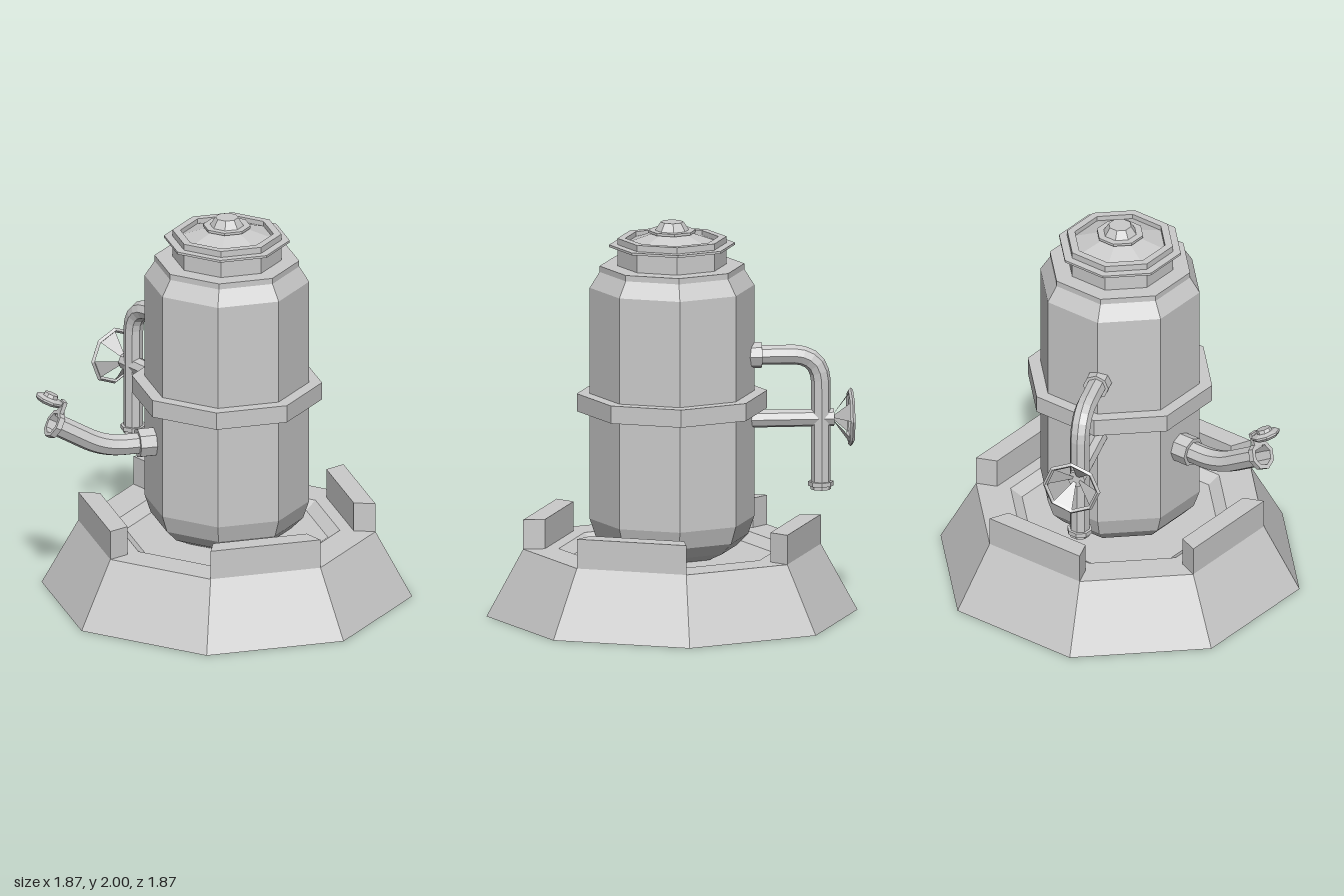
import * as THREE from 'three';

const SIDES = 8;
const grey = new THREE.MeshStandardMaterial({ color: 0xcccccc, flatShading: true });
const greyOpen = new THREE.MeshStandardMaterial({ color: 0xcccccc, flatShading: true, side: THREE.DoubleSide });

function add(parent, name, geometry, material = grey) {
  const mesh = new THREE.Mesh(geometry, material);
  mesh.name = name;
  parent.add(mesh);
  return mesh;
}

// Eight-sided turned solid from [radius, height] pairs, bottom to top
function turned(points) {
  return new THREE.LatheGeometry(points.map(([r, y]) => new THREE.Vector2(r, y)), SIDES);
}

// Pipe with straight ends and one rounded bend at b
function bentPipe(a, bendStart, b, bendEnd, c, radius) {
  const path = new THREE.CurvePath();
  path.add(new THREE.LineCurve3(a, bendStart));
  path.add(new THREE.QuadraticBezierCurve3(bendStart, b, bendEnd));
  path.add(new THREE.LineCurve3(bendEnd, c));
  return new THREE.TubeGeometry(path, 24, radius, SIDES, false);
}

const v = (x, y, z) => new THREE.Vector3(x, y, z);

function createBase(root) {
  add(root, 'base', turned([
    [0, 0], [0.935, 0], [0.75, 0.34], [0.57, 0.34], [0.51, 0.3], [0, 0.3],
  ]));
  // Parapet blocks on every second side
  for (let i = 0; i < 4; i++) {
    const t0 = Math.PI / 4 + i * Math.PI / 2;
    const t1 = t0 + Math.PI / 4;
    const corner = (r, t) => new THREE.Vector2(r * Math.sin(t), -r * Math.cos(t));
    const shape = new THREE.Shape([corner(0.75, t0), corner(0.75, t1), corner(0.64, t1), corner(0.64, t0)]);
    const geometry = new THREE.ExtrudeGeometry(shape, { depth: 0.15, bevelEnabled: false });
    geometry.rotateX(-Math.PI / 2);
    geometry.translate(0, 0.34, 0);
    add(root, 'parapetBlock', geometry);
  }
}

function createTank(root) {
  add(root, 'tank', turned([
    [0, 0.295], [0.23, 0.295], [0.325, 0.34], [0.385, 0.4], [0.415, 0.49],
    [0.415, 1.67], [0.365, 1.75], [0.365, 1.78], [0, 1.78],
  ]));
  add(root, 'collar', new THREE.CylinderGeometry(0.48, 0.48, 0.09, SIDES)).position.y = 1.085;
  // Neck with a raised rim and a shallow conical lid
  add(root, 'neck', turned([
    [0.275, 1.78], [0.275, 1.92], [0.235, 1.92], [0.235, 1.895], [0.09, 1.945], [0, 1.945],
  ]));
  add(root, 'neckFlange', new THREE.CylinderGeometry(0.317, 0.317, 0.012, SIDES)).position.y = 1.882;
  add(root, 'lidKnob', turned([
    [0, 1.945], [0.12, 1.945], [0.12, 1.958], [0.085, 1.958], [0.058, 2], [0, 2],
  ]));
}

function createDrain(root) {
  const drain = new THREE.Group();
  drain.name = 'drainPipe';
  root.add(drain);
  add(drain, 'drainTube', bentPipe(
    v(-0.37, 1.31, 0), v(-0.6, 1.31, 0), v(-0.75, 1.31, 0), v(-0.75, 1.16, 0), v(-0.75, 0.64, 0), 0.05,
  ), greyOpen);
  const wallFlange = add(drain, 'wallFlange', new THREE.CylinderGeometry(0.066, 0.066, 0.07, SIDES));
  wallFlange.rotation.z = Math.PI / 2;
  wallFlange.position.set(-0.415, 1.31, 0);
  add(drain, 'nozzleRing', turned([
    [0.04, 0.62], [0.052, 0.62], [0.052, 0.638], [0.064, 0.638], [0.064, 0.66], [0.045, 0.66],
  ]), greyOpen);
  add(drain, 'nozzlePlug', new THREE.CylinderGeometry(0.045, 0.045, 0.01, SIDES)).position.y = 0.63;
  drain.children.slice(-2).forEach((m) => { m.position.x = -0.75; });

  // Valve stem from the collar through the drain pipe
  const stem = add(drain, 'valveStem', new THREE.CylinderGeometry(0.045, 0.045, 0.42, SIDES));
  stem.rotation.z = Math.PI / 2;
  stem.position.set(-0.605, 0.985, 0);

  // Hand wheel with four tapering spokes
  const wheel = new THREE.Group();
  wheel.name = 'handWheel';
  wheel.position.set(-0.9, 0.985, 0);
  wheel.rotation.z = -Math.PI / 2;
  drain.add(wheel);
  const rim = add(wheel, 'wheelRim', new THREE.TorusGeometry(0.138, 0.012, 4, SIDES));
  rim.rotation.x = Math.PI / 2;
  for (let i = 0; i < 4; i++) {
    const spoke = add(wheel, 'wheelSpoke', new THREE.CylinderGeometry(
      0.02, 0.138, 0.085, 1, 1, true, i * Math.PI / 2, Math.PI / 4,
    ), greyOpen);
    spoke.position.y = 0.0425;
  }
}

function createSpout(root) {
  const spout = new THREE.Group();
  spout.name = 'spout';
  spout.rotation.y = -Math.PI / 8;
  root.add(spout);
  add(spout, 'spoutTube', bentPipe(
    v(0, 0.835, 0.36), v(0, 0.835, 0.53), v(0, 0.835, 0.64), v(0, 0.89, 0.735), v(0, 0.99, 0.908), 0.056,
  ), greyOpen);
  const flange = add(spout, 'spoutFlange', new THREE.CylinderGeometry(0.076, 0.076, 0.085, SIDES));
  flange.rotation.x = Math.PI / 2;
  flange.position.set(0, 0.835, 0.425);
  // Open mouth ring
  const mouth = add(spout, 'spoutMouth', turned([
    [0.054, -0.015], [0.076, -0.015], [0.076, 0.015], [0.054, 0.015], [0.054, -0.015],
  ]), greyOpen);
  mouth.rotation.x = Math.PI / 3;
  mouth.position.set(0, 0.985, 0.9);
  // Raised cap on a short hinge
  const hinge = add(spout, 'capHinge', new THREE.BoxGeometry(0.05, 0.09, 0.02));
  hinge.rotation.x = -0.35;
  hinge.position.set(0, 1.06, 0.865);
  const cap = add(spout, 'spoutCap', turned([
    [0, -0.014], [0.06, -0.014], [0.075, 0], [0.075, 0.01], [0.05, 0.02], [0.04, 0.02], [0.036, 0.038], [0, 0.038],
  ]));
  cap.rotation.x = -0.42;
  cap.position.set(0, 1.115, 0.93);
}

export function createModel() {
  const root = new THREE.Group();
  root.name = 'boilerTank';
  createBase(root);
  createTank(root);
  createDrain(root);
  createSpout(root);
  return root;
}
